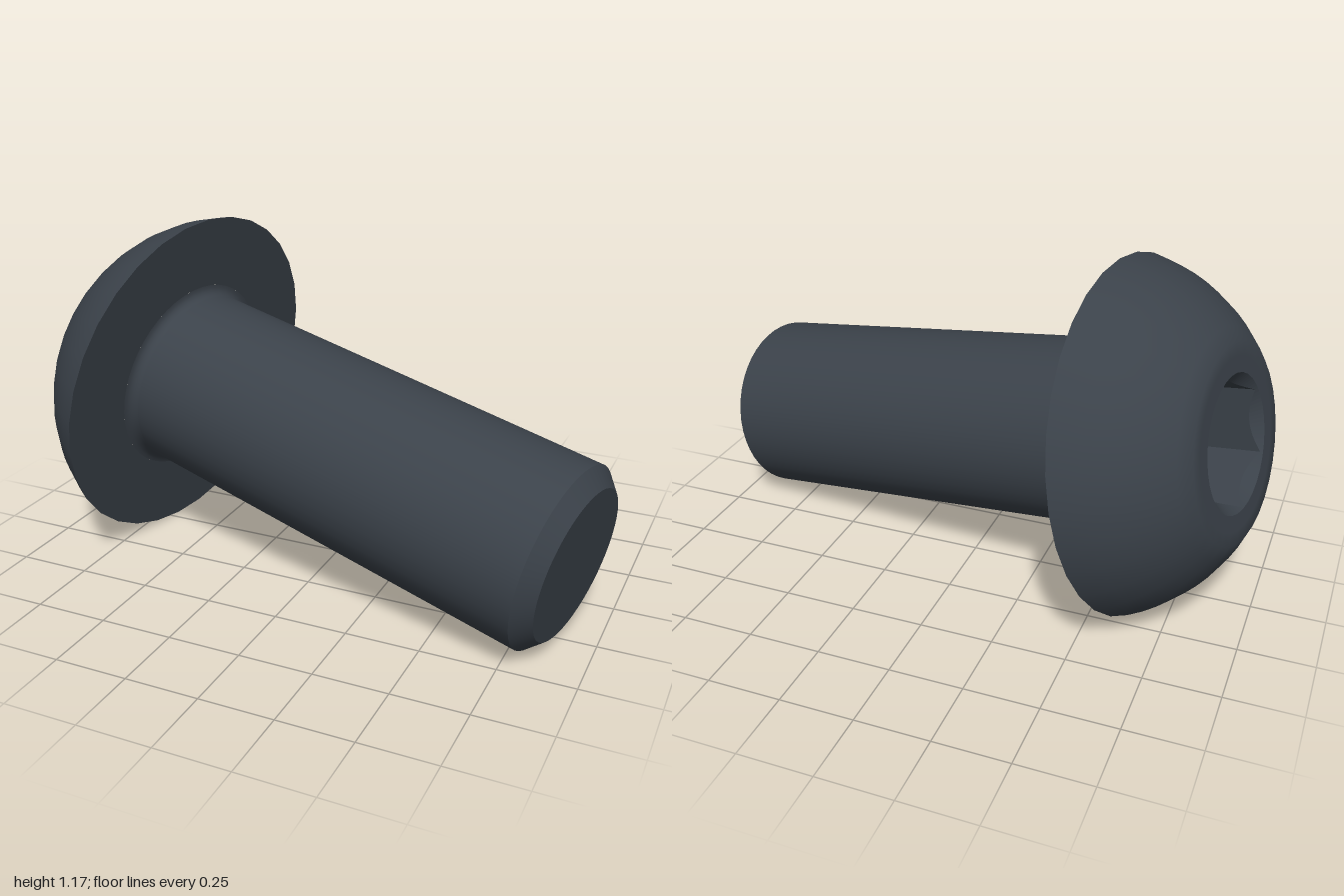
import * as THREE from 'three';

const HEAD_H = 0.337;   // head height
const RIM_R = 0.597;    // head radius
const SHAFT_R = 0.313;
const SOCKET_R = 0.226; // countersink radius
const HEX_R = 0.219;    // hexagon corner radius
const SOCKET_D = 0.225; // socket depth

export function createModel() {
  const steel = new THREE.MeshStandardMaterial({ color: 0x3b424a });
  steel.name = 'darkSteel';

  // Everything is turned about local y, which runs from the head to the shaft tip.
  const bolt = new THREE.Group();
  bolt.name = 'bolt';
  const add = (parent, name, geometry) => {
    const mesh = new THREE.Mesh(geometry, steel);
    mesh.name = name;
    parent.add(mesh);
  };
  const turn = (points, segments) =>
    new THREE.LatheGeometry(points.map(([r, y]) => new THREE.Vector2(r, y)), segments);

  // Head: spherical dome with a flat top around the socket, and a flat underside
  const head = new THREE.Group();
  head.name = 'head';
  const sphereY = 0.204;
  const sphereR = Math.hypot(RIM_R, sphereY);
  const a0 = Math.acos((HEAD_H + sphereY) / sphereR);
  const a1 = Math.acos(sphereY / sphereR);
  const dome = [[SOCKET_R, -HEAD_H], [0.28, -HEAD_H]];
  for (let i = 0; i <= 8; i++) {
    const a = a0 + (a1 - a0) * i / 8;
    dome.push([sphereR * Math.sin(a), sphereY - sphereR * Math.cos(a)]);
  }
  add(head, 'dome', turn(dome, 32));
  const fillet = 0.033;
  add(head, 'underside', turn([[RIM_R, 0], [SHAFT_R + fillet, 0]], 32));

  // Hexagonal socket: floor, walls and conical countersink, bent from a round profile
  const socket = turn([
    [0, SOCKET_D - HEAD_H], [HEX_R, SOCKET_D - HEAD_H], [HEX_R, -HEAD_H], [SOCKET_R, -HEAD_H],
  ], 96);
  const pos = socket.attributes.position;
  for (let i = 0; i < pos.count; i++) {
    const ring = i % 4;
    if (ring !== 1 && ring !== 2) continue;
    const phi = Math.floor(i / 4) / 96 * Math.PI * 2;
    const r = HEX_R * Math.cos(Math.PI / 6) / Math.cos(phi % (Math.PI / 3) - Math.PI / 6);
    const y = ring === 1 ? SOCKET_D - HEAD_H : -HEAD_H + (SOCKET_R - r);
    pos.setXYZ(i, r * Math.sin(phi), y, r * Math.cos(phi));
  }
  const flatSocket = socket.toNonIndexed();
  flatSocket.computeVertexNormals();
  add(head, 'hexSocket', flatSocket);
  bolt.add(head);

  // Shaft: root fillet, plain cylinder, chamfer and end face
  const shaft = new THREE.Group();
  shaft.name = 'shaft';
  const root = [];
  for (let i = 0; i <= 5; i++) {
    const a = i / 5 * Math.PI / 2;
    root.push([SHAFT_R + fillet * (1 - Math.sin(a)), fillet * (1 - Math.cos(a))]);
  }
  add(shaft, 'rootFillet', turn(root, 48));
  add(shaft, 'shank', turn([[SHAFT_R, fillet], [SHAFT_R, 1.523]], 48));
  add(shaft, 'chamfer', turn([[SHAFT_R, 1.523], [0.258, 1.575]], 48));
  add(shaft, 'endFace', turn([[0.258, 1.575], [0, 1.575]], 48));
  bolt.add(shaft);

  // Tilt the bolt and place the centre of the head's underside
  const axis = new THREE.Vector3(1, -0.1904, 0.2123).normalize();
  const up = new THREE.Vector3(0, 1, 0).addScaledVector(axis, -axis.y).normalize();
  const side = new THREE.Vector3().crossVectors(axis, up);
  bolt.quaternion.setFromRotationMatrix(new THREE.Matrix4().makeBasis(side, axis, up));
  bolt.position.set(-0.585, 0.5915, -0.015);

  const model = new THREE.Group();
  model.name = 'buttonHeadBolt';
  model.add(bolt);
  return model;
}
